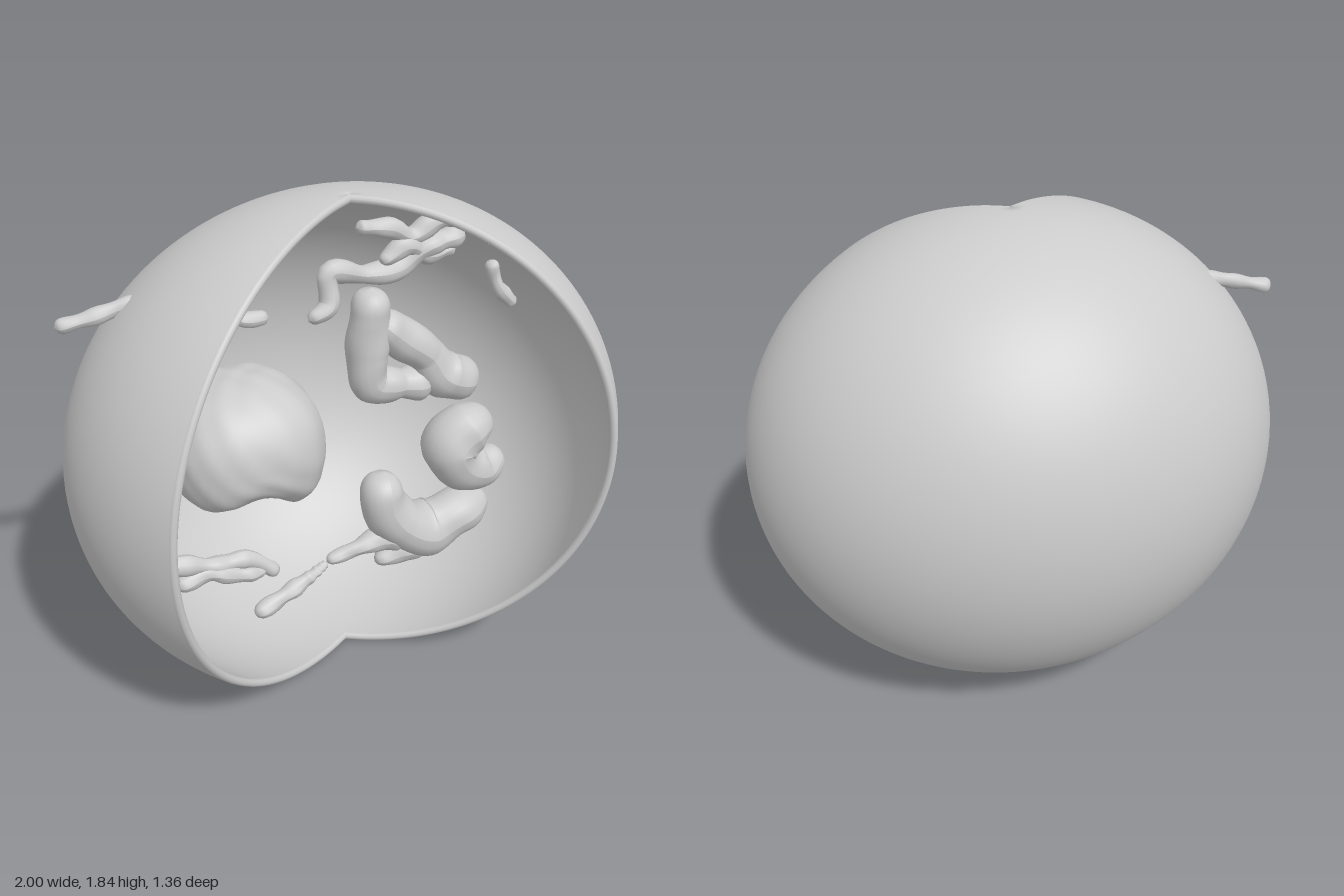
import * as THREE from 'three';

const V = (x, y, z) => new THREE.Vector3(x, y, z);
const RX = 1, RY = 0.92, RZ = 0.85, CZ = 0.17, WALL = 0.03;
const CUT = 0.942; // half angle of the missing wedge, before squashing in z

const material = new THREE.MeshStandardMaterial({ color: 0xcccccc, side: THREE.DoubleSide });

// Lumpy round-ended strand through points [x, y, z, radius]
function strand(name, points, sides = 14, lump = 0.1) {
  const curve = new THREE.CatmullRomCurve3(points.map(p => V(p[0], p[1], p[2])), false, 'centripetal');
  const length = curve.getLength(), rings = 64;
  const geo = new THREE.TubeGeometry(curve, rings, 1, sides, false);
  const pos = geo.attributes.position, v = V(0, 0, 0);
  for (let i = 0; i <= rings; i++) {
    const t = i / rings, c = curve.getPointAt(t);
    const k = Math.min(t * (points.length - 1), points.length - 1.001), a = Math.floor(k);
    const base = THREE.MathUtils.lerp(points[a][3], points[a + 1][3], k - a);
    const end = Math.min(1, Math.min(t, 1 - t) * length / base);
    const cap = Math.sqrt(Math.max(0, 1 - (1 - end) ** 2));
    for (let j = 0; j <= sides; j++) {
      const n = i * (sides + 1) + j, s = 2 * Math.PI * j / sides;
      const bump = 1 + lump * Math.sin(t * length / base * 1.5 + points[0][0] * 20)
        + lump * 0.7 * Math.sin(2 * s + t * 17);
      v.fromBufferAttribute(pos, n).sub(c).multiplyScalar(base * cap * bump).add(c);
      pos.setXYZ(n, v.x, v.y, v.z);
    }
  }
  geo.computeVertexNormals();
  const mesh = new THREE.Mesh(geo, material);
  mesh.name = name;
  return mesh;
}

// Thick ellipsoid wall with a vertical wedge left open at the front
function makeShell() {
  const shell = new THREE.Group();
  shell.name = 'shell';
  const n = 64, profile = [];
  const arc = (r, h, a) => new THREE.Vector2(Math.max(0, r * Math.cos(a)), h * Math.sin(a));
  for (let i = 0; i <= n; i++) profile.push(arc(RX, RY, (i / n - 0.5) * Math.PI));
  for (let i = n; i >= 0; i--) profile.push(arc(RX - WALL, RY - WALL, (i / n - 0.5) * Math.PI));
  const wall = new THREE.Mesh(new THREE.LatheGeometry(profile, 96, CUT, 2 * Math.PI - 2 * CUT), material);
  wall.name = 'wall';
  wall.scale.z = RZ;
  shell.add(wall);
  // rounded lips along the two cut edges
  for (const side of [-1, 1]) {
    const path = [];
    for (let i = 0; i <= 32; i++) {
      const p = arc(RX - WALL / 2, RY - WALL / 2, (i / 32 - 0.5) * Math.PI);
      path.push(V(side * p.x * Math.sin(CUT), p.y, p.x * Math.cos(CUT) * RZ));
    }
    const lip = new THREE.Mesh(
      new THREE.TubeGeometry(new THREE.CatmullRomCurve3(path), 96, WALL / 2, 10), material);
    lip.name = side > 0 ? 'leftLip' : 'rightLip';
    shell.add(lip);
  }
  shell.position.set(0, RY, CZ);
  return shell;
}

// Boxy dome with a notch in its underside
function makeNucleus() {
  const geo = new THREE.SphereGeometry(1, 56, 40);
  const pos = geo.attributes.position, d = V(0, 0, 0);
  for (let i = 0; i < pos.count; i++) {
    d.fromBufferAttribute(pos, i);
    const e = 2.5;
    const norm = (Math.abs(d.x) ** e + Math.abs(d.y) ** e + Math.abs(d.z) ** e) ** (1 / e);
    const bump = 1 + 0.012 * Math.sin(d.x * 13 + d.y * 5) * Math.sin(d.z * 11 + d.y * 7);
    d.multiplyScalar(bump / norm);
    let y = d.y * 0.26;
    if (d.y < 0) y += -d.y * (0.1 * Math.exp(-((d.x / 0.45) ** 2)) - 0.04 * d.x);
    const taper = d.y > 0 ? 1 - 0.12 * d.y * d.y : 1;
    pos.setXYZ(i, d.x * 0.285 * taper, y, d.z * 0.28 * taper);
  }
  geo.computeVertexNormals();
  const mesh = new THREE.Mesh(geo, material);
  mesh.name = 'nucleus';
  mesh.position.set(-0.35, 0.94, 0.04);
  return mesh;
}

export function createModel() {
  const model = new THREE.Group();
  model.name = 'cutawayCell';
  model.add(makeShell(), makeNucleus());

  // Strand that pierces the upper right wall
  model.add(strand('upperRightStrand', [[-0.95, 1.48, 0.01, 0.026], [-0.83, 1.505, 0.03, 0.026], [-0.68, 1.535, 0.04, 0.027],
    [-0.55, 1.53, 0.05, 0.025], [-0.43, 1.49, 0.06, 0.022], [-0.35, 1.43, 0.08, 0.025], [-0.25, 1.42, 0.08, 0.026]]));

  // Crossing strands beside the nucleus
  model.add(
    strand('sideStrand', [[-0.65, 1.37, 0.06, 0.03], [-0.67, 1.26, 0.09, 0.035], [-0.7, 1.16, 0.17, 0.035], [-0.77, 1.07, 0.32, 0.028]]),
    strand('sideStrandArm', [[-0.74, 1.16, 0.14, 0.03], [-0.66, 1.13, 0.1, 0.03], [-0.56, 1.15, 0.08, 0.03]]),
    strand('sideStrandLower', [[-0.66, 1.15, 0.12, 0.03], [-0.66, 1, 0.15, 0.035], [-0.68, 0.8, 0.17, 0.034]]),
    strand('sideStrandInner', [[-0.67, 1.13, 0.1, 0.028], [-0.67, 1, 0.08, 0.03], [-0.67, 0.85, 0.08, 0.03]]));

  // Lower right strands, one pressing through the wall
  model.add(
    strand('lowerRightStrand', [[-0.91, 0.48, -0.02, 0.04], [-0.78, 0.47, 0.02, 0.035], [-0.62, 0.46, 0.04, 0.038],
      [-0.48, 0.42, 0.04, 0.035], [-0.35, 0.41, 0.04, 0.032], [-0.23, 0.32, 0.05, 0.035]]),
    strand('lowerRightBranch', [[-0.64, 0.38, 0.06, 0.03], [-0.5, 0.4, 0.05, 0.038], [-0.38, 0.36, 0.06, 0.035], [-0.28, 0.35, 0.05, 0.028]]),
    strand('bottomStrand', [[-0.35, 0.19, 0.11, 0.03], [-0.24, 0.22, 0.09, 0.035], [-0.12, 0.26, 0.07, 0.03], [-0.02, 0.3, 0.05, 0.014]]));

  // Lobed mass at the lower left
  model.add(
    strand('lowerLobe', [[0.23, 0.65, 0.03, 0.09], [0.22, 0.54, 0.04, 0.09], [0.28, 0.42, 0.04, 0.1], [0.42, 0.34, 0.04, 0.12],
      [0.55, 0.38, 0.04, 0.1], [0.7, 0.42, 0.03, 0.07]], 20, 0.05),
    strand('lowerLobeFinger', [[-0.02, 0.3, 0.04, 0.02], [0.1, 0.33, 0.05, 0.035], [0.2, 0.35, 0.05, 0.05], [0.32, 0.33, 0.04, 0.06]]),
    strand('lowerLobeBase', [[0.19, 0.24, 0.05, 0.035], [0.3, 0.27, 0.05, 0.055], [0.42, 0.26, 0.04, 0.05], [0.54, 0.29, 0.04, 0.05]]));

  // Curled lobe at the left wall
  model.add(strand('curledLobe', [[0.7, 0.78, 0.03, 0.06], [0.61, 0.77, 0.03, 0.11], [0.52, 0.7, 0.03, 0.12],
    [0.58, 0.6, 0.03, 0.11], [0.67, 0.57, 0.03, 0.09], [0.76, 0.62, 0.03, 0.06]], 20, 0.05));

  // Ring-shaped lobe with a tail
  model.add(
    strand('ringLobeInner', [[0.17, 1.42, 0, 0.08], [0.17, 1.28, 0, 0.08], [0.16, 1.15, 0, 0.075], [0.18, 1.04, 0, 0.08],
      [0.3, 1.01, 0, 0.06], [0.43, 1, 0, 0.085]], 18, 0.06),
    strand('ringLobeOuter', [[0.19, 1.3, 0, 0.08], [0.3, 1.2, 0, 0.075], [0.4, 1.12, 0, 0.075], [0.47, 1.02, 0, 0.1],
      [0.63, 0.96, 0, 0.09]], 18, 0.06));

  // Branching strands at the upper left
  model.add(
    strand('upperLeftStrand', [[-0.11, 1.38, 0.09, 0.03], [-0.03, 1.42, 0.08, 0.035], [-0.02, 1.53, 0.06, 0.038],
      [0.12, 1.5, 0.05, 0.038], [0.26, 1.5, 0.04, 0.042], [0.36, 1.56, 0.04, 0.042], [0.52, 1.59, 0.04, 0.035]]),
    strand('upperLeftBranch', [[0.09, 1.67, 0.04, 0.028], [0.22, 1.65, 0.04, 0.032], [0.3, 1.61, 0.04, 0.036],
      [0.4, 1.65, 0.04, 0.036], [0.53, 1.65, 0.04, 0.026]]),
    strand('upperLeftLink', [[0.18, 1.53, 0.05, 0.03], [0.28, 1.58, 0.05, 0.035], [0.38, 1.53, 0.04, 0.035], [0.48, 1.55, 0.04, 0.026]]),
    strand('leftWallStrand', [[0.63, 1.47, 0.05, 0.025], [0.66, 1.37, 0.06, 0.025], [0.74, 1.28, 0.06, 0.03]]));

  return model;
}
